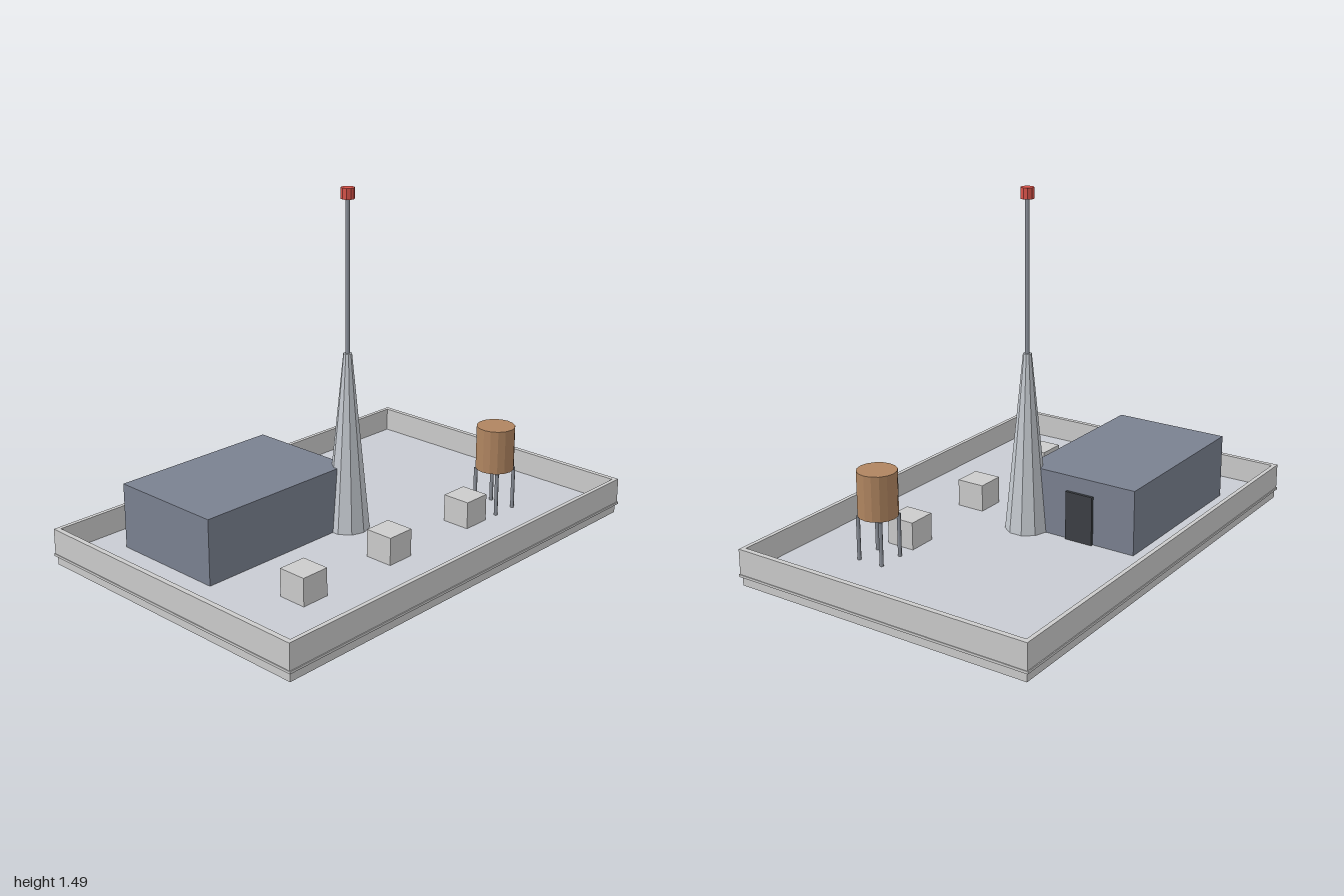
import * as THREE from 'three';

const FLOOR = 0.05;
const mat = (color, extra = {}) => new THREE.MeshStandardMaterial({ color, ...extra });
const grey = mat(0xcccccc);
const floorGrey = mat(0xc9ccd3);
const steel = mat(0xc4c9cf, { flatShading: true });
const darkSteel = mat(0x8a8f98);
const slate = mat(0x7a8190);
const wood = mat(0xb08560, { flatShading: true });
const red = mat(0xd9534a, { flatShading: true });
const doorDark = mat(0x3c3f44);

function add(parent, name, geometry, material, x = 0, y = 0, z = 0) {
  const mesh = new THREE.Mesh(geometry, material);
  mesh.name = name;
  mesh.position.set(x, y, z);
  parent.add(mesh);
  return mesh;
}

// Box given by its extents on each axis
function block(parent, name, material, [x0, x1], [y0, y1], [z0, z1]) {
  return add(parent, name, new THREE.BoxGeometry(x1 - x0, y1 - y0, z1 - z0), material,
    (x0 + x1) / 2, (y0 + y1) / 2, (z0 + z1) / 2);
}

// Upright cylinder or cone between two heights
function column(parent, name, material, rTop, rBottom, y0, y1, sides, x = 0, z = 0) {
  return add(parent, name, new THREE.CylinderGeometry(rTop, rBottom, y1 - y0, sides), material,
    x, (y0 + y1) / 2, z);
}

export function createModel() {
  const model = new THREE.Group();
  model.name = 'rooftop';

  // Base slab, overhanging rim and roof floor
  block(model, 'baseSlab', grey, [-0.667, 0.667], [0, 0.038], [-0.99, 0.99]);
  block(model, 'rim', grey, [-0.677, 0.677], [0.038, 0.048], [-1, 1]);
  block(model, 'floor', floorGrey, [-0.665, 0.665], [0.04, FLOOR], [-0.985, 0.985]);

  // Parapet walls
  const parapet = new THREE.Group();
  parapet.name = 'parapet';
  model.add(parapet);
  for (const s of [-1, 1]) {
    const xs = [0.655 * s, 0.673 * s].sort((a, b) => a - b);
    const zs = [0.975 * s, 0.997 * s].sort((a, b) => a - b);
    block(parapet, 'sideWall', grey, xs, [0.045, 0.155], [-0.997, 0.997]);
    block(parapet, 'endWall', grey, [-0.655, 0.655], [0.045, 0.155], zs);
  }

  // Penthouse with a door at the back
  block(model, 'penthouse', slate, [-0.51, 0], [FLOOR, 0.327], [0, 0.765]);
  block(model, 'door', doorDark, [-0.32, -0.195], [FLOOR, 0.26], [-0.012, 0.01]);

  // Tapered tower, mast and beacon
  const tower = new THREE.Group();
  tower.name = 'antennaTower';
  model.add(tower);
  column(tower, 'towerCone', steel, 0.018, 0.093, FLOOR, 0.81, 10).rotation.y = Math.PI / 2;
  column(tower, 'mast', darkSteel, 0.009, 0.009, 0.81, 1.44, 8);
  column(tower, 'beacon', red, 0.028, 0.028, 1.44, 1.485, 10);

  // Row of ventilation units
  for (const z of [-0.385, 0.095, 0.575]) {
    block(model, 'ventUnit', grey, [0.255, 0.38], [FLOOR, 0.167], [z - 0.0625, z + 0.0625]);
  }

  // Water tank on four legs
  const tank = new THREE.Group();
  tank.name = 'waterTank';
  tank.position.set(0.32, 0, -0.577);
  model.add(tank);
  column(tank, 'barrel', wood, 0.082, 0.082, 0.235, 0.425, 16);
  for (const x of [-0.057, 0.057]) {
    for (const z of [-0.057, 0.057]) {
      column(tank, 'tankLeg', darkSteel, 0.008, 0.008, FLOOR, 0.235, 8, x, z);
    }
  }
  return model;
}
